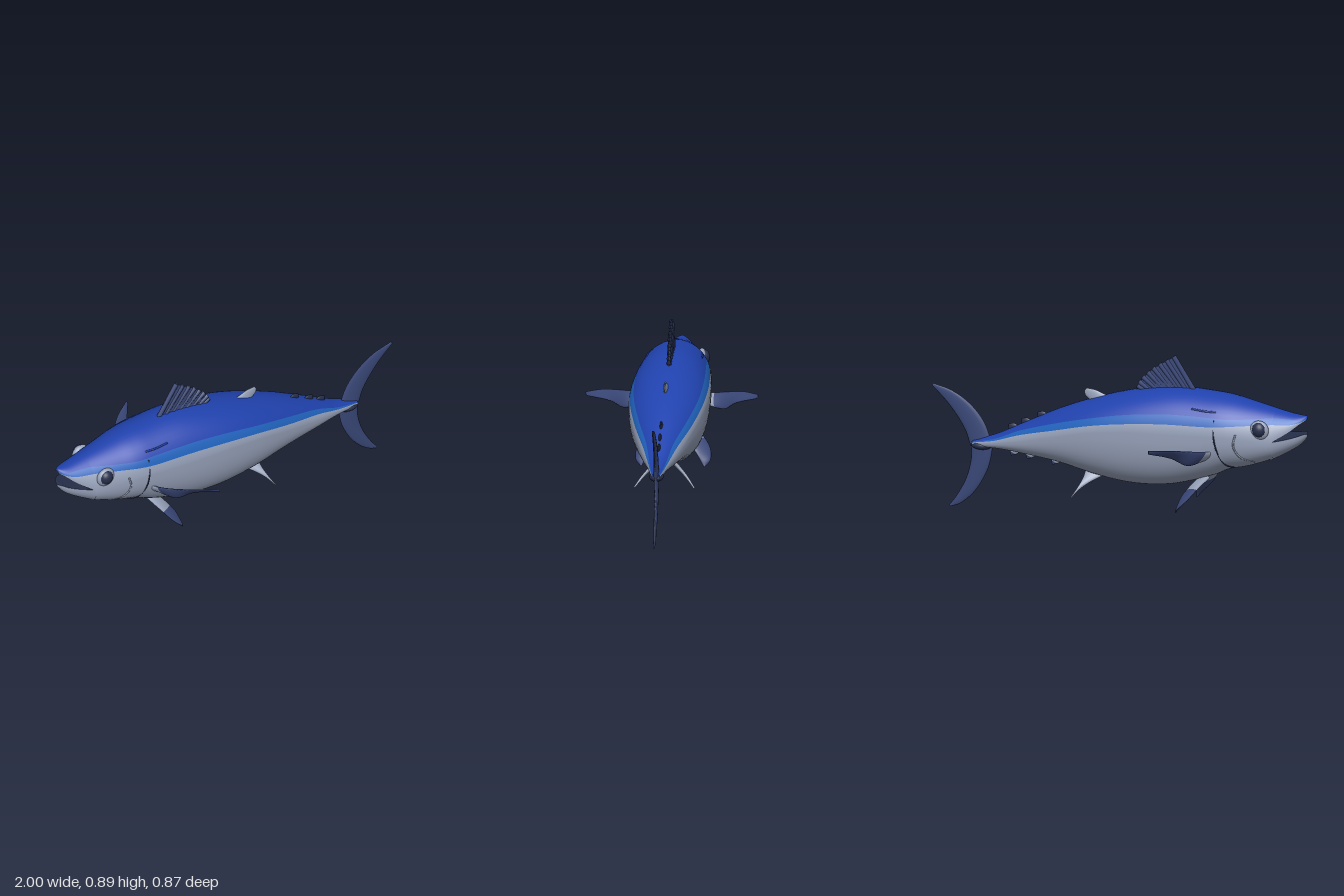
import * as THREE from 'three';

const mat = (name, color) => {
  const m = new THREE.MeshStandardMaterial({ color, side: THREE.DoubleSide });
  m.name = name;
  return m;
};
const V = (x, y, z = 0) => new THREE.Vector3(x, y, z);
const N_UP = 1.95, N_LOW = 2.35; // roundness of the upper and lower half of a section

// Stations along the fish: x, top, widest height, bottom, half width, back seam, stripe seam
const BODY = [
  [-0.84, 0.67, 0.52, 0.42, 0.118, 0.64, 0.61],
  [-0.7, 0.70, 0.53, 0.37, 0.152, 0.632, 0.602],
  [-0.6, 0.72, 0.54, 0.345, 0.174, 0.63, 0.595],
  [-0.5, 0.73, 0.54, 0.30, 0.185, 0.635, 0.59],
  [-0.3, 0.735, 0.535, 0.24, 0.198, 0.635, 0.588],
  [-0.1, 0.705, 0.53, 0.225, 0.2, 0.615, 0.572],
  [0.1, 0.65, 0.505, 0.25, 0.185, 0.575, 0.54],
  [0.3, 0.575, 0.455, 0.295, 0.147, 0.52, 0.488],
  [0.5, 0.48, 0.40, 0.32, 0.095, 0.453, 0.432],
  [0.65, 0.405, 0.365, 0.33, 0.05, 0.387, 0.378],
  [0.78, 0.36, 0.345, 0.325, 0.022, 0.352, 0.35],
];
const UPPER_JAW = [
  [-1, 0.64, 0.64, 0.64, 0, 0.64, 0.64],
  [-0.995, 0.648, 0.628, 0.628, 0.018, 0.637, 0.633],
  [-0.97, 0.65, 0.61, 0.61, 0.045, 0.63, 0.62],
  [-0.92, 0.655, 0.57, 0.57, 0.08, 0.635, 0.61],
  [-0.84, 0.67, 0.52, 0.52, 0.118, 0.64, 0.61],
];
const LOWER_JAW = [
  [-1, 0.55, 0.55, 0.55, 0, 0.55, 0.55],
  [-0.99, 0.558, 0.558, 0.528, 0.03, 0.558, 0.558],
  [-0.96, 0.55, 0.55, 0.495, 0.06, 0.55, 0.55],
  [-0.9, 0.535, 0.535, 0.455, 0.09, 0.535, 0.535],
  [-0.82, 0.52, 0.52, 0.41, 0.12, 0.52, 0.52],
];

// Smooth blend of the stations at u = 0..1
function station(rows, u) {
  const f = u * (rows.length - 1), i = Math.min(Math.floor(f), rows.length - 2), t = f - i;
  const at = (k) => rows[Math.max(0, Math.min(rows.length - 1, k))];
  const [a, b, c, d] = [at(i - 1), at(i), at(i + 1), at(i + 2)];
  return b.map((p, k) => {
    const m0 = (c[k] - a[k]) / 2, m1 = (d[k] - p) / 2, e = c[k] - p;
    return p + t * (m0 + t * (3 * e - 2 * m0 - m1 + t * (m0 + m1 - 2 * e)));
  });
}

// Closed skin over the stations; one material per band: back, stripe, flank, underside
function skin(name, rows, mats, per) {
  const counts = [8, 3, 5, 14], steps = (rows.length - 1) * per, pos = [], bandOf = [];
  counts.forEach((n, b) => { for (let k = 0; k < n; k++) bandOf.push(b); });
  const m = bandOf.length, ring = 2 * m, lists = [[], [], [], []];
  for (let i = 0; i <= steps; i++) {
    const [x, top, mid, bot, w, s1, s2] = station(rows, i / steps);
    const seam = (s) => {
      const r = THREE.MathUtils.clamp((s - mid) / Math.max(top - mid, 1e-5), 0, 1);
      return Math.acos(r ** (N_UP / 2));
    };
    const edges = [0, seam(s1), seam(s2), Math.PI / 2, Math.PI], th = [0];
    counts.forEach((n, b) => {
      for (let k = 1; k <= n; k++) th.push(edges[b] + (edges[b + 1] - edges[b]) * k / n);
    });
    for (let j = 0; j < ring; j++) {
      const a = th[j <= m ? j : ring - j], c = Math.cos(a), e = 2 / (c > 0 ? N_UP : N_LOW);
      const y = mid + (c > 0 ? top - mid : bot - mid) * Math.abs(c) ** e;
      const z = Math.max(w, 0) * Math.max(Math.sin(a), 0) ** e;
      pos.push(x, y, j <= m ? z : -z);
      if (i < steps) {
        const p = i * ring + j, q = i * ring + (j + 1) % ring;
        lists[bandOf[j < m ? j : ring - 1 - j]].push(p, q, p + ring, q, q + ring, p + ring);
      }
    }
  }
  const g = new THREE.BufferGeometry();
  g.setAttribute('position', new THREE.Float32BufferAttribute(pos, 3));
  g.setIndex(lists.flat());
  let start = 0;
  lists.forEach((l, b) => { g.addGroup(start, l.length, b); start += l.length; });
  g.computeVertexNormals();
  const mesh = new THREE.Mesh(g, mats);
  mesh.name = name;
  return mesh;
}

// Point on the body side at a given x and y
function onBody(x, y, side, lift = 0) {
  let i = 0;
  while (i < BODY.length - 2 && BODY[i + 1][0] < x) i++;
  const t = (x - BODY[i][0]) / (BODY[i + 1][0] - BODY[i][0]);
  const [, top, mid, bot, w] = BODY[i].map((v, k) => v + (BODY[i + 1][k] - v) * t);
  const r = Math.min(1, y > mid ? (y - mid) / (top - mid) : (mid - y) / (mid - bot));
  const n = y > mid ? N_UP : N_LOW;
  return V(x, y, side * (w * (1 - r ** n) ** (1 / n) + lift));
}

// Lens-section fin between a leading and a trailing edge; the root may have its own colour
function fin(name, lead, trail, thick, material, rootMaterial = material, split = 0) {
  const L = new THREE.CatmullRomCurve3(lead), T = new THREE.CatmullRomCurve3(trail);
  const side = T.getPoint(0.4).sub(L.getPoint(0.4))
    .cross(L.getPoint(1).sub(L.getPoint(0))).normalize();
  const steps = 20, ring = 14, pos = [], idx = [];
  for (let i = 0; i <= steps; i++) {
    const t = i / steps, a = L.getPoint(t), b = T.getPoint(t);
    for (let j = 0; j < ring; j++) {
      const f = j / ring * Math.PI * 2;
      const p = a.clone().lerp(b, (1 - Math.cos(f)) / 2)
        .addScaledVector(side, Math.sin(f) * thick * (1 - 0.7 * t));
      pos.push(p.x, p.y, p.z);
      if (i < steps) {
        const q = i * ring + j, r = i * ring + (j + 1) % ring;
        idx.push(q, r, q + ring, r, r + ring, q + ring);
      }
    }
  }
  const g = new THREE.BufferGeometry(), cut = Math.round(split * steps) * ring * 6;
  g.setAttribute('position', new THREE.Float32BufferAttribute(pos, 3));
  g.setIndex(idx);
  g.addGroup(0, cut, 0);
  g.addGroup(cut, idx.length - cut, 1);
  g.computeVertexNormals();
  const mesh = new THREE.Mesh(g, [rootMaterial, material]);
  mesh.name = name;
  return mesh;
}

export function createModel() {
  const fish = new THREE.Group();
  fish.name = 'fish';
  const blue = mat('back blue', 0x2042ae), stripe = mat('stripe blue', 0x2062bc);
  const silver = mat('belly silver', 0x97a2ba), navy = mat('fin navy', 0x3a4878);
  const dark = mat('dark navy', 0x262f4c);
  const add = (m) => { fish.add(m); return m; };
  const blob = (name, material, p, sx, sy, sz) => {
    const m = add(new THREE.Mesh(new THREE.SphereGeometry(1, 24, 16), material));
    m.name = name;
    m.position.copy(p);
    m.scale.set(sx, sy, sz);
  };
  const tube = (name, points, r, material) => {
    const curve = new THREE.CatmullRomCurve3(points);
    add(new THREE.Mesh(new THREE.TubeGeometry(curve, 24, r, 6), material)).name = name;
  };

  // Body and open mouth
  add(skin('body', BODY, [blue, stripe, silver, silver], 7));
  add(skin('upperJaw', UPPER_JAW, [blue, stripe, silver, dark], 6));
  add(skin('lowerJaw', LOWER_JAW, [dark, dark, dark, silver], 6));

  // Tail fin and its dark keel
  add(fin('tailUpperLobe', [V(0.68, 0.35), V(0.72, 0.455), V(0.79, 0.54), V(0.89, 0.605), V(0.99, 0.633)],
    [V(0.8, 0.34), V(0.82, 0.4), V(0.865, 0.475), V(0.93, 0.555), V(1, 0.622)], 0.014, navy));
  add(fin('tailLowerLobe', [V(0.67, 0.36), V(0.70, 0.22), V(0.77, 0.095), V(0.845, 0.025), V(0.895, 0.003)],
    [V(0.8, 0.37), V(0.79, 0.28), V(0.815, 0.165), V(0.87, 0.06), V(0.907, 0.01)], 0.014, navy));
  blob('tailKeel', dark, V(0.735, 0.336), 0.055, 0.023, 0.036);

  // First dorsal fin with thick spines reaching past its rear edge
  const rear = [V(-0.09, 0.68), V(-0.105, 0.74), V(-0.18, 0.82), V(-0.29, 0.89)];
  add(fin('dorsalFin', [V(-0.42, 0.71), V(-0.385, 0.765), V(-0.345, 0.825), V(-0.29, 0.895)], rear, 0.011, navy));
  const rearCurve = new THREE.CatmullRomCurve3(rear);
  for (let i = 0; i < 8; i++) {
    const tip = rearCurve.getPoint(1 - i * 0.11).add(V(0.003, 0.002));
    tube('dorsalSpine', [V(-0.4 + i * 0.037, 0.715 - i * 0.003), tip], 0.0125, navy);
  }

  // Second dorsal fin
  add(fin('secondDorsalFin', [V(0.04, 0.65), V(0.09, 0.665), V(0.13, 0.68), V(0.175, 0.685)],
    [V(0.14, 0.61), V(0.165, 0.63), V(0.185, 0.65), V(0.188, 0.67)], 0.014, silver));

  // Rows of finlets
  for (const [x, y] of [[0.405, 0.522], [0.49, 0.48], [0.56, 0.446]])
    add(fin('upperFinlet', [V(x - 0.03, y), V(x, y + 0.02), V(x + 0.028, y + 0.016)],
      [V(x + 0.03, y - 0.03), V(x + 0.035, y - 0.01), V(x + 0.032, y + 0.012)], 0.01, dark));
  for (const [x, y] of [[0.33, 0.3], [0.465, 0.317], [0.55, 0.327]])
    add(fin('lowerFinlet', [V(x - 0.03, y), V(x, y - 0.022), V(x + 0.026, y - 0.03)],
      [V(x + 0.03, y + 0.02), V(x + 0.035, y - 0.005), V(x + 0.03, y - 0.026)], 0.012, navy, silver, 0.5));

  // Paired parts
  for (const s of [1, -1]) {
    const side = s > 0 ? 'front' : 'back';
    const pairFin = (name, lead, trail, ...rest) => {
      const place = (list) => list.map(([x, y, z]) => V(x, y, z * s));
      add(fin(side + name, place(lead), place(trail), ...rest));
    };
    pairFin('PectoralFin',
      [[-0.55, 0.46, 0.16], [-0.5, 0.48, 0.25], [-0.42, 0.503, 0.35], [-0.308, 0.515, 0.435]],
      [[-0.5, 0.41, 0.16], [-0.45, 0.402, 0.25], [-0.385, 0.45, 0.315], [-0.303, 0.495, 0.428]],
      0.012, navy, silver, 0.15);
    // Paddle facing backwards and outwards, on a pale stalk
    pairFin('PelvicFin',
      [[-0.5, 0.3, 0.06], [-0.47, 0.263, 0.14], [-0.425, 0.205, 0.185], [-0.375, 0.155, 0.188], [-0.355, 0.13, 0.165]],
      [[-0.43, 0.28, 0.03], [-0.39, 0.232, 0.08], [-0.367, 0.195, 0.115], [-0.357, 0.155, 0.14], [-0.352, 0.127, 0.155]],
      0.014, navy, silver, 0.3);
    // Splayed anal fins
    pairFin('AnalFin',
      [[0.04, 0.265, 0.02], [0.12, 0.226, 0.075], [0.17, 0.19, 0.115], [0.204, 0.15, 0.15]],
      [[0.17, 0.285, 0.03], [0.168, 0.245, 0.07], [0.18, 0.205, 0.11], [0.208, 0.153, 0.15]],
      0.013, silver);
    blob(side + 'EyeSocket', silver, onBody(-0.783, 0.583, s, -0.006), 0.05, 0.05, 0.026);
    blob(side + 'Eye', dark, onBody(-0.785, 0.588, s, 0.004), 0.036, 0.039, 0.032);
    // Edge of the gill cover, cheek fold and a short crease on the shoulder
    tube(side + 'GillSlit', [[-0.555, 0.625], [-0.56, 0.55], [-0.575, 0.47], [-0.605, 0.39], [-0.64, 0.37]]
      .map(([x, y]) => onBody(x, y, s)), 0.004, dark);
    tube(side + 'CheekFold', [[-0.67, 0.56], [-0.66, 0.5], [-0.69, 0.44], [-0.75, 0.41]]
      .map(([x, y]) => onBody(x, y, s)), 0.005, silver);
    tube(side + 'ShoulderCrease', [[-0.56, 0.66], [-0.5, 0.662], [-0.43, 0.668]]
      .map(([x, y]) => onBody(x, y, s)), 0.005, blue);
  }
  return fish;
}
